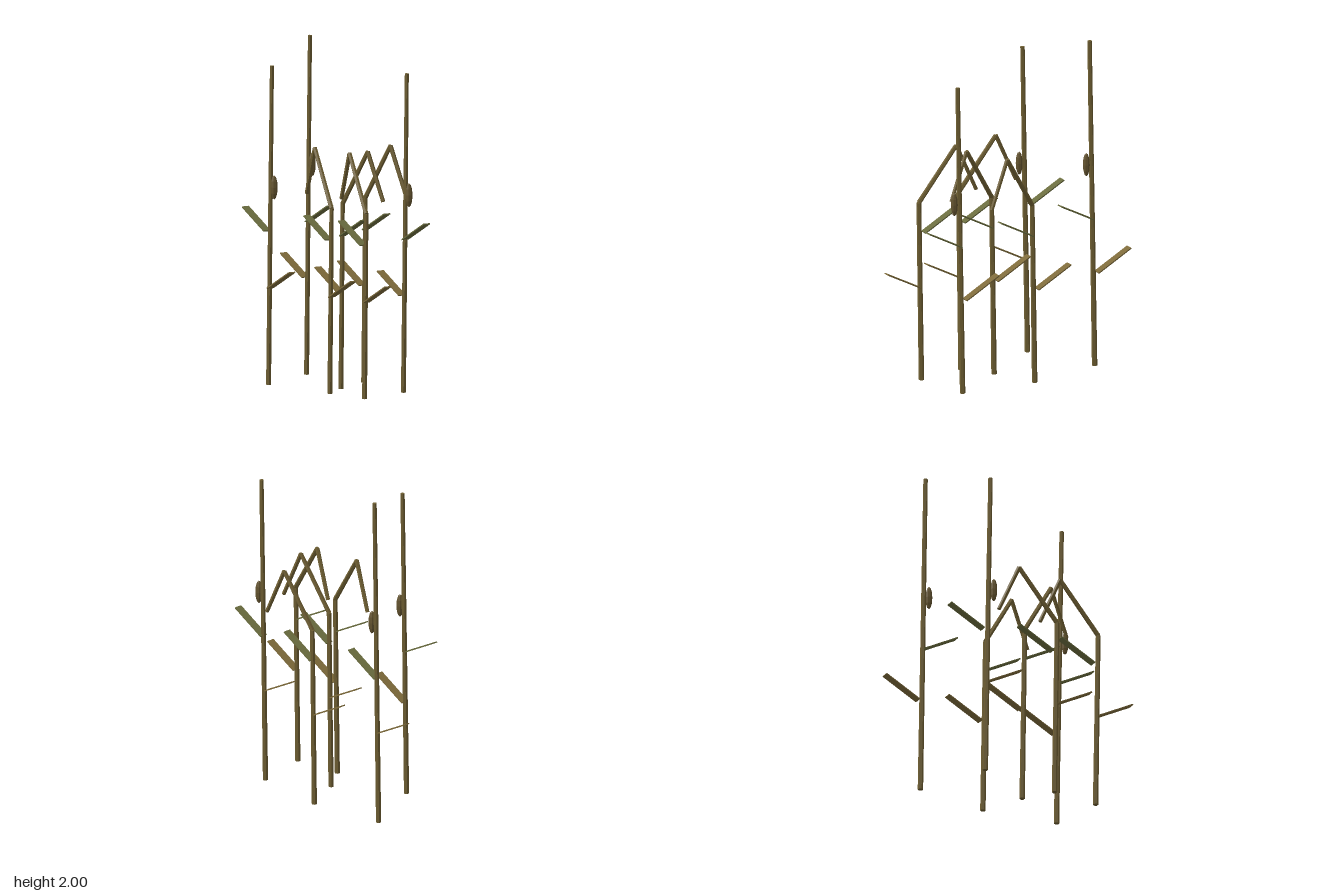
import * as THREE from 'three';

const stemMat = new THREE.MeshStandardMaterial({ color: 0x6e5e32, flatShading: true });
const podMat = new THREE.MeshStandardMaterial({ color: 0x645430, flatShading: true });
const lowLeafMat = new THREE.MeshStandardMaterial({ color: 0x7d6a3a });
const highLeafMat = new THREE.MeshStandardMaterial({ color: 0x6a6c3e });

function add(group, name, geometry, material) {
  const mesh = new THREE.Mesh(geometry, material);
  mesh.name = name;
  group.add(mesh);
  return mesh;
}

// Straight faceted stalk between two points
function stalk(group, name, a, b, r0, r1) {
  const from = new THREE.Vector3(...a), to = new THREE.Vector3(...b);
  const dir = to.clone().sub(from);
  const mesh = add(group, name, new THREE.CylinderGeometry(r1, r0, dir.length(), 6), stemMat);
  mesh.position.copy(from).add(to).multiplyScalar(0.5);
  mesh.quaternion.setFromUnitVectors(new THREE.Vector3(0, 1, 0), dir.normalize());
}

// Thin blade rising outwards from the stalk; side is -1 or 1
function leaf(group, name, side, y, material) {
  const run = 0.22, rise = 0.117;
  const mesh = add(group, name, new THREE.BoxGeometry(Math.hypot(run, rise), 0.007, 0.048), material);
  mesh.position.set(side * (0.015 + run / 2), y + rise / 2, 0);
  mesh.rotation.z = side * Math.atan2(rise, run);
}

function reed(name, x, z, side) {
  const g = new THREE.Group();
  g.name = name;
  g.position.set(x, 0, z);
  leaf(g, 'lowerLeaf', -side, 0.57, lowLeafMat);
  leaf(g, 'upperLeaf', side, 0.902, highLeafMat);
  return g;
}

// Upright reed with a seed pod beside the stalk
function tallReed(x, z, height, podY, side) {
  const g = reed('tallReed', x, z, side);
  stalk(g, 'stem', [0, 0, 0], [0.034, height, 0], 0.016, 0.013);
  const pod = add(g, 'seedPod', new THREE.SphereGeometry(1, 8, 6), podMat);
  pod.scale.set(0.021, 0.071, 0.021);
  pod.position.set(0.056, podY, 0);
  return g;
}

// Reed whose upper part is snapped over
function bentReed(x, z, side) {
  const g = reed('bentReed', x, z, side);
  const knee = [0.017, 1.09, 0], apex = [side * 0.211, 1.415, -0.042], tip = [side * 0.33, 1.133, -0.068];
  stalk(g, 'stem', [0, 0, 0], knee, 0.016, 0.014);
  stalk(g, 'bentStem', knee, apex, 0.014, 0.013);
  stalk(g, 'droopingTip', apex, tip, 0.013, 0.012);
  return g;
}

export function createModel() {
  const model = new THREE.Group();
  model.name = 'reeds';
  model.add(
    tallReed(-0.5, -0.14, 2, 1.243, 1),
    tallReed(-0.293, 0.277, 1.88, 1.167, -1),
    tallReed(0.418, -0.182, 1.88, 1.167, 1),
    bentReed(-0.044, -0.225, 1),
    bentReed(0.082, 0.026, 1),
    bentReed(0.207, 0.193, -1),
    bentReed(0.499, 0.152, -1),
  );
  return model;
}
